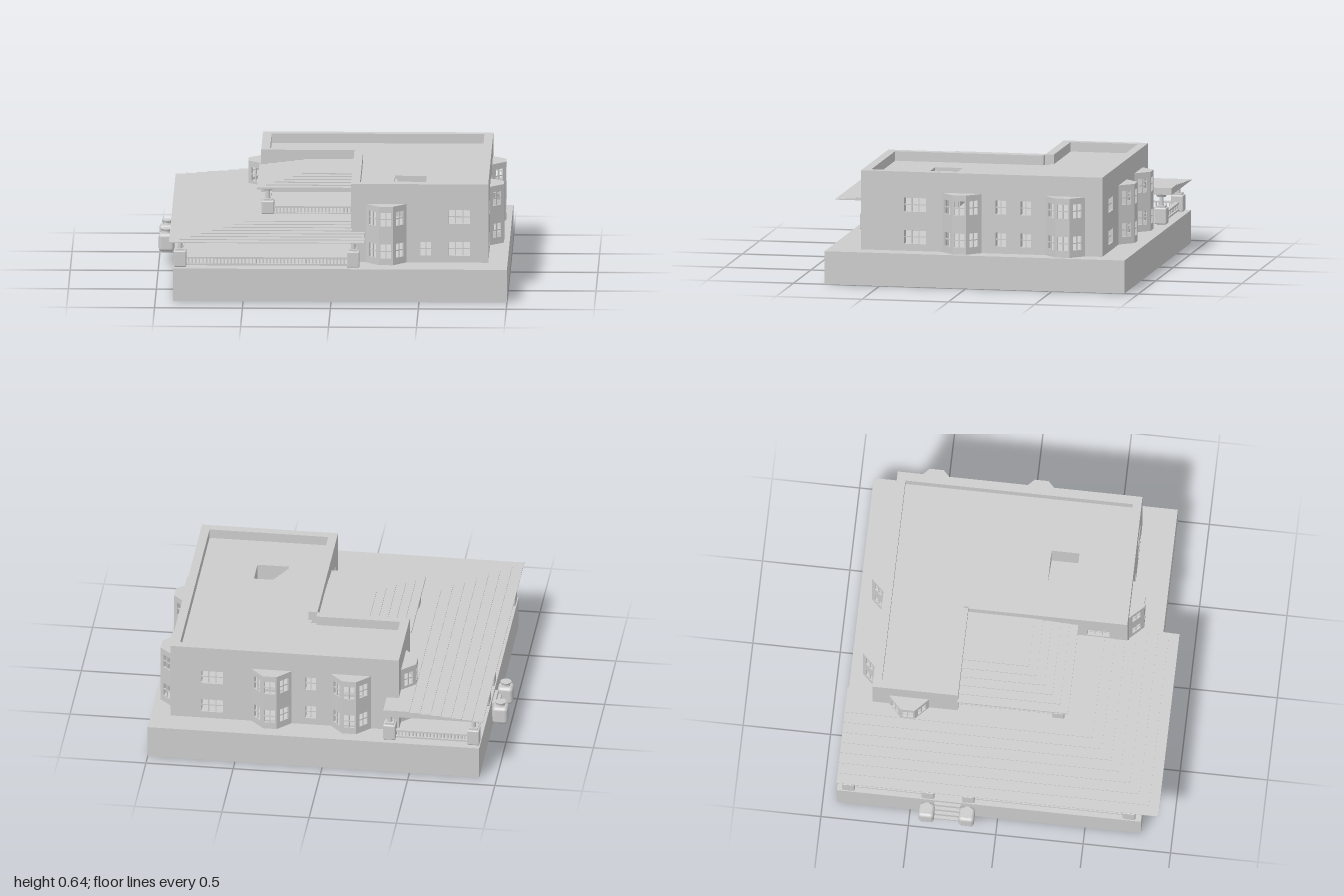
import * as THREE from 'three';
import { RoundedBoxGeometry } from 'three/addons/geometries/RoundedBoxGeometry.js';

const plaster = new THREE.MeshStandardMaterial({ color: 0xcccccc, name: 'grey plaster' });

function add(parent, name, geometry, x = 0, y = 0, z = 0) {
  const mesh = new THREE.Mesh(geometry, plaster);
  mesh.name = name;
  mesh.position.set(x, y, z);
  parent.add(mesh);
  return mesh;
}
const box = (parent, name, w, h, d, x, y, z) =>
  add(parent, name, new THREE.BoxGeometry(w, h, d), x, y, z);

function group(parent, name) {
  const g = new THREE.Group();
  g.name = name;
  parent.add(g);
  return g;
}

// Flat slab from a plan outline of [x, z] points, between two heights
function slab(parent, name, plan, y0, y1, hole) {
  const toV = ([x, z]) => new THREE.Vector2(x, -z);
  const shape = new THREE.Shape(plan.map(toV));
  if (hole) shape.holes.push(new THREE.Path(hole.map(toV)));
  const g = new THREE.ExtrudeGeometry(shape, { depth: y1 - y0, bevelEnabled: false });
  g.rotateX(-Math.PI / 2);
  return add(parent, name, g, 0, y0, 0);
}

// Upright wall from a to b (outside on the right hand); openings are
// { u: distance along wall, y0, y1, w, v: vertical bars, h: horizontal bars }
function wall(parent, name, a, b, y0, y1, t, openings) {
  const dx = b[0] - a[0], dz = b[1] - a[1], len = Math.hypot(dx, dz);
  const g = group(parent, name);
  g.position.set(a[0], 0, a[1]);
  g.rotation.y = Math.atan2(-dz, dx);
  const rect = (C, x0, x1, b0, b1) =>
    new C([[x0, b0], [x1, b0], [x1, b1], [x0, b1]].map(p => new THREE.Vector2(...p)));
  const shape = rect(THREE.Shape, 0, len, y0, y1);
  for (const o of openings) {
    shape.holes.push(rect(THREE.Path, o.u - o.w / 2, o.u + o.w / 2, o.y0, o.y1));
    const h = o.y1 - o.y0, z = -Math.min(0.012, t / 2);
    for (let i = 1; i <= o.v; i++)
      box(g, 'windowBar', 0.006, h, 0.006, o.u - o.w / 2 + o.w * i / (o.v + 1), o.y0 + h / 2, z);
    for (let i = 1; i <= o.h; i++)
      box(g, 'windowBar', o.w, 0.006, 0.006, o.u, o.y0 + h * i / (o.h + 1), z);
  }
  add(g, name + 'Panel', new THREE.ExtrudeGeometry(shape, { depth: t, bevelEnabled: false }), 0, 0, -t);
}

const LOW = [0.23, 0.31], HIGH = [0.415, 0.495];
const small = (u, [y0, y1]) => ({ u, y0, y1, w: 0.06, v: 1, h: 1 });
const wide = (u, [y0, y1]) => ({ u, y0, y1, w: 0.125, v: 2, h: 1 });
const bayGap = (u, top = 0.52) => ({ u, y0: 0.2, y1: top, w: 0.19, v: 0, h: 0 });
const both = (f, u) => [f(u, LOW), f(u, HIGH)];

// Three-sided bay window standing out from a wall
function bay(parent, x, z, turn, top = 0.53) {
  const g = group(parent, 'bayWindow');
  g.position.set(x, 0, z);
  g.rotation.y = turn;
  const pts = [[-0.115, 0], [-0.04, 0.078], [0.04, 0.078], [0.115, 0]];
  for (let i = 0; i < 3; i++) {
    const u = Math.hypot(pts[i + 1][0] - pts[i][0], pts[i + 1][1] - pts[i][1]) / 2;
    const rows = top > 0.5 ? [LOW, HIGH] : [LOW];
    wall(g, 'bayWall', pts[i], pts[i + 1], 0.19, top, 0.012, rows.map(r => small(u, r)));
  }
  slab(g, 'bayRoof', pts, top - 0.012, top);
}

// Square pier with a slim column and capital
function pillar(parent, x, z, y0, pier, top) {
  const g = group(parent, 'pillar');
  g.position.set(x, 0, z);
  add(g, 'pier', new RoundedBoxGeometry(0.072, pier, 0.072, 2, 0.008), 0, y0 + pier / 2, 0);
  box(g, 'pierCap', 0.05, 0.012, 0.05, 0, y0 + pier + 0.004, 0);
  const h = top - y0 - pier;
  add(g, 'column', new THREE.CylinderGeometry(0.011, 0.014, h, 12), 0, y0 + pier + h / 2, 0);
  add(g, 'capital', new THREE.CylinderGeometry(0.034, 0.026, 0.016, 12), 0, top - 0.008, 0);
}

// Balustrade between two plan points
function railing(parent, a, b, y) {
  const dx = b[0] - a[0], dz = b[1] - a[1], len = Math.hypot(dx, dz);
  const g = group(parent, 'railing');
  g.position.set(a[0], y, a[1]);
  g.rotation.y = Math.atan2(-dz, dx);
  box(g, 'topRail', len, 0.01, 0.024, len / 2, 0.05, 0);
  box(g, 'bottomRail', len, 0.01, 0.024, len / 2, 0.012, 0);
  const n = Math.round(len / 0.02);
  for (let i = 0; i < n; i++) box(g, 'baluster', 0.008, 0.034, 0.008, (i + 0.5) * len / n, 0.031, 0);
}

export function createModel() {
  const model = new THREE.Group();
  model.name = 'house';

  // Base
  box(model, 'plinth', 1.9, 0.19, 1.74, 0.05, 0.095, -0.05);

  // House walls, running round the L-shaped plan
  const house = group(model, 'mainHouse');
  const plan = [[-0.42, -0.28], [0.11, -0.28], [0.11, 0.63], [0.89, 0.63], [0.89, -0.77], [-0.42, -0.77]];
  const openings = [
    [bayGap(0.275, 0.36), small(0.12, HIGH), small(0.275, HIGH), small(0.45, HIGH)],
    [...both(small, 0.2), ...both(small, 0.42), ...both(wide, 0.745)],
    [bayGap(0.2), small(0.425, LOW), ...both(wide, 0.615)],
    [...both(wide, 0.313), bayGap(0.585), ...both(small, 0.81), ...both(small, 0.955), bayGap(1.185)],
    [...both(wide, 0.24), bayGap(0.58), ...both(small, 0.805), bayGap(1.035)],
    [bayGap(0.21)],
  ];
  plan.forEach((p, i) =>
    wall(house, 'houseWall', p, plan[(i + 1) % 6], 0.19, 0.645, 0.05, openings[i]));
  bay(house, 0.31, 0.63, 0);
  bay(house, -0.145, -0.28, 0, 0.365);
  bay(house, 0.89, 0.045, Math.PI / 2);
  bay(house, 0.89, -0.555, Math.PI / 2);
  bay(house, 0.31, -0.77, Math.PI);
  bay(house, -0.145, -0.77, Math.PI);
  bay(house, -0.42, -0.56, -Math.PI / 2);

  // Upper floor and sunken flat roof with a stair opening
  const inner = [[-0.39, -0.31], [0.14, -0.31], [0.14, 0.6], [0.86, 0.6], [0.86, -0.74], [-0.39, -0.74]];
  slab(house, 'upperFloor', inner, 0.37, 0.385);
  const pit = [[0.35, 0.15], [0.53, 0.15], [0.53, 0.31], [0.35, 0.31]];
  slab(house, 'flatRoof', inner, 0.57, 0.59, pit);
  const stair = group(house, 'roofStair');
  for (let i = 0; i < 12; i++)
    box(stair, 'step', 0.015, 0.02, 0.16, 0.3575 + i * 0.015, 0.56 - i * 0.013, 0.23);
  for (const z of [0.145, 0.315]) box(stair, 'stairSide', 0.19, 0.18, 0.01, 0.44, 0.48, z);
  for (const x of [0.345, 0.535]) box(stair, 'stairEnd', 0.01, 0.18, 0.18, x, 0.48, 0.23);

  // Porch roof in thin steps, rising towards the house
  const porch = group(model, 'porch');
  for (let i = 0; i < 8; i++) {
    const w = -0.92 + i * 0.06, s = 0.92 - i * 0.06;
    const east = s > 0.72 ? [[0.115, 0.7], [0.19, 0.7], [0.19, s]] : [[0.115, s]];
    slab(porch, 'porchRoofStep', [[w, -0.92], [-0.35, -0.92], [-0.35, -0.3], [0.115, -0.3], ...east, [w, s]],
      0.36, 0.365 + i * 0.005);
  }
  for (const [x, z] of [[-0.86, 0.75], [0.125, 0.75], [-0.86, -0.17], [-0.86, -0.4], [-0.86, -0.855], [-0.38, -0.855]])
    pillar(porch, x, z, 0.19, 0.095, 0.362);
  railing(porch, [-0.86, 0.75], [0.125, 0.75], 0.19);
  railing(porch, [-0.86, 0.75], [-0.86, -0.17], 0.19);
  railing(porch, [-0.86, -0.4], [-0.86, -0.855], 0.19);
  railing(porch, [-0.86, -0.855], [-0.38, -0.855], 0.19);

  // Balcony with its own stepped roof
  const balcony = group(model, 'balcony');
  for (let i = 0; i < 6; i++) {
    const w = -0.43 + i * 0.05, s = 0.35 - i * 0.05;
    slab(balcony, 'balconyRoofStep', [[w, -0.285], [0.115, -0.285], [0.115, s], [w, s]], 0.55, 0.562 + i * 0.006);
  }
  pillar(balcony, -0.37, 0.29, 0.4, 0.078, 0.552);
  railing(balcony, [-0.37, 0.29], [0.11, 0.29], 0.388);
  railing(balcony, [-0.37, 0.29], [-0.37, -0.28], 0.388);

  // Entrance posts and steps
  const entrance = group(model, 'entrance');
  for (const z of [-0.4, -0.17]) {
    add(entrance, 'entrancePost', new RoundedBoxGeometry(0.088, 0.105, 0.088, 3, 0.02), -0.956, 0.1325, z);
    add(entrance, 'postNeck', new THREE.CylinderGeometry(0.022, 0.026, 0.02, 16), -0.956, 0.19, z);
    add(entrance, 'postCap', new THREE.CylinderGeometry(0.032, 0.028, 0.012, 16), -0.956, 0.203, z);
  }
  for (let i = 0; i < 4; i++) {
    const h = 0.09 - i * 0.025;
    box(entrance, 'entranceStep', 0.018, h, 0.15, -0.909 - i * 0.018, 0.08 + h / 2, -0.285);
  }
  return model;
}
